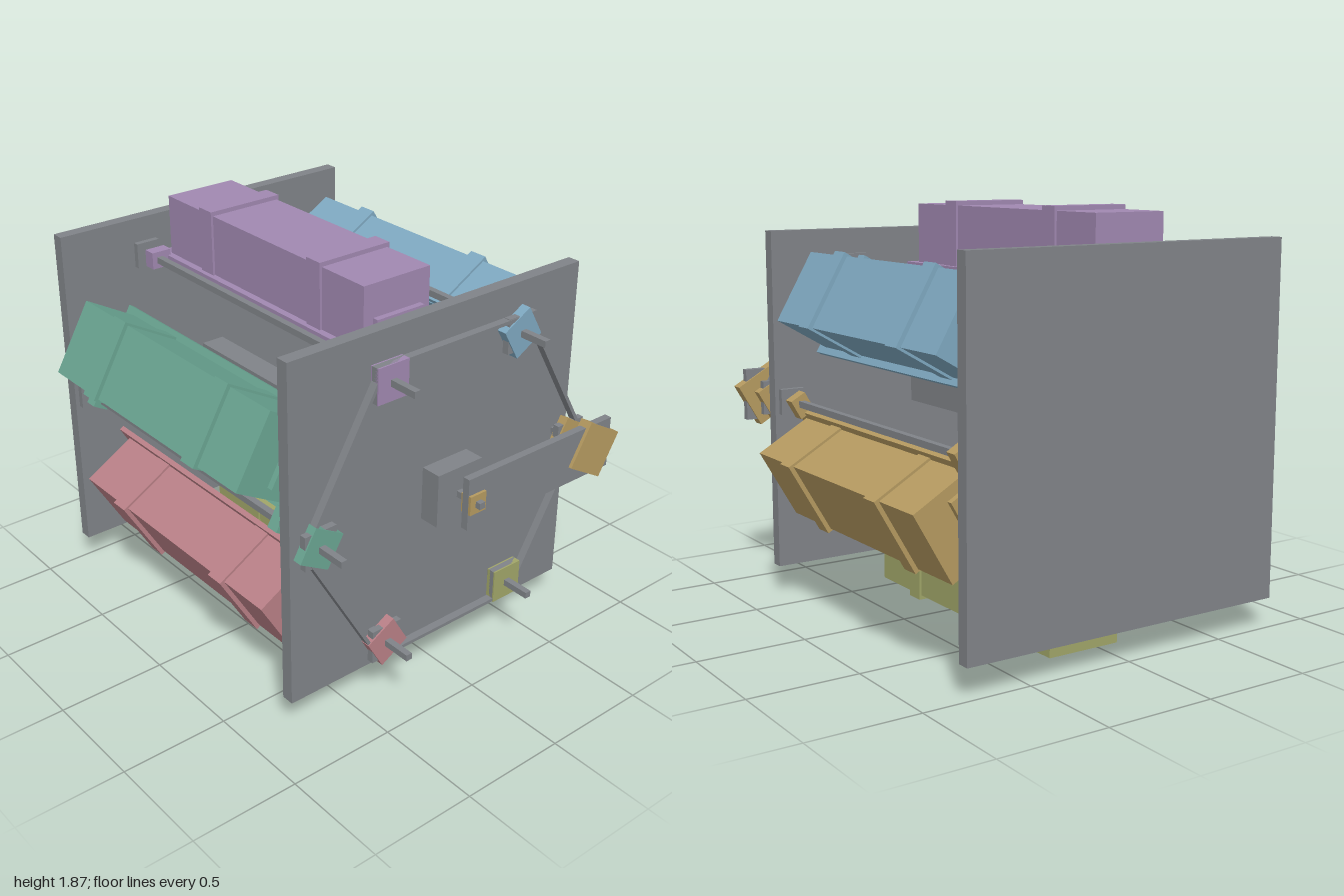
import * as THREE from 'three';

const mat = (name, color) => {
  const m = new THREE.MeshStandardMaterial({ color });
  m.name = name;
  return m;
};

export function createModel() {
  const model = new THREE.Group();
  model.name = 'rotaryBoxMachine';
  const grey = mat('grey', 0x808388);
  const colours = [
    mat('purple', 0xa088b0), mat('blue', 0x7ea8c0), mat('ochre', 0xb59a60),
    mat('lime', 0xa0a568), mat('pink', 0xb87f86), mat('green', 0x6aa592),
  ];

  // Box given by its centre, size in x and y, and z range
  const box = (parent, name, material, x, y, w, h, z0, z1, turn = 0) => {
    const m = new THREE.Mesh(new THREE.BoxGeometry(w, h, z1 - z0), material);
    m.name = name;
    m.position.set(x, y, (z0 + z1) / 2);
    m.rotation.z = turn;
    parent.add(m);
    return m;
  };

  // Everything is laid out around the central axis
  const hub = new THREE.Group();
  hub.name = 'machine';
  hub.position.y = 0.945;
  model.add(hub);

  // End plates
  box(hub, 'backPlate', grey, 0, 0, 1.6, 1.6, -1, -0.94);
  box(hub, 'frontPlate', grey, 0, 0, 1.6, 1.6, 0.665, 0.725);

  // Central axle, drive block and spindle
  box(hub, 'centralAxle', grey, 0, 0, 0.12, 0.12, -0.94, 0.665);
  box(hub, 'driveBlock', grey, 0, 0, 0.25, 0.25, 0.765, 0.862);
  box(hub, 'driveSpindle', grey, 0, 0, 0.03, 0.03, 0.665, 1);

  // Crank link with a small and a large pulley
  box(hub, 'crankLink', grey, 0.391, 0, 0.874, 0.245, 0.927, 0.962);
  box(hub, 'smallPulley', colours[2], 0, 0, 0.09, 0.09, 0.92, 0.975);
  box(hub, 'largePulley', colours[2], 0.72, 0, 0.22, 0.22, 0.918, 0.978, -Math.PI / 6);

  const zc = -0.135; // middle of the boxes along the axis
  const sx = -0.36, sy = 0.6235; // shaft position in each sector
  const cx = -0.107; // box middle across the sector

  for (let i = 0; i < 6; i++) {
    const c = colours[i];
    const turn = -i * Math.PI / 3;

    // Shaft, bearings and upright sprocket stay square to the plates
    const p = new THREE.Vector2(sx, sy).rotateAround(new THREE.Vector2(), turn);
    box(hub, 'shaft', grey, p.x, p.y, 0.03, 0.03, -0.97, 0.97);
    box(hub, 'backBearing', grey, p.x, p.y, 0.12, 0.12, -0.94, -0.912);
    box(hub, 'frontBearing', grey, p.x, p.y, 0.12, 0.12, 0.637, 0.665);
    box(hub, 'sprocket', grey, p.x, p.y, 0.16, 0.16, 0.795, 0.826);

    const unit = new THREE.Group();
    unit.name = 'boxUnit';
    unit.rotation.z = turn;
    hub.add(unit);

    // Belt run and coloured pulley
    box(unit, 'beltRun', grey, 0, 0.693, 0.72, 0.016, 0.792, 0.829);
    box(unit, 'pulley', c, sx, sy, 0.16, 0.16, 0.788, 0.833);

    // Carrier board and crate
    box(unit, 'carrierBoard', c, cx, 0.623, 0.42, 0.024, zc - 0.755, zc + 0.755);
    box(unit, 'crate', c, cx, 0.775, 0.355, 0.28, zc - 0.695, zc + 0.695);

    for (const s of [-1, 1]) {
      // Bands, end cleats and shaft lugs
      const b = zc + s * 0.385, e = zc + s * 0.708, l = zc + s * 0.71;
      box(unit, 'band', c, cx, 0.771, 0.377, 0.328, b - 0.045, b + 0.045);
      box(unit, 'endCleat', c, cx, 0.71, 0.255, 0.11, e - 0.015, e + 0.015);
      box(unit, 'shaftLug', c, sx + 0.01, sy, 0.1, 0.08, l - 0.03, l + 0.03);
    }
  }
  return model;
}
